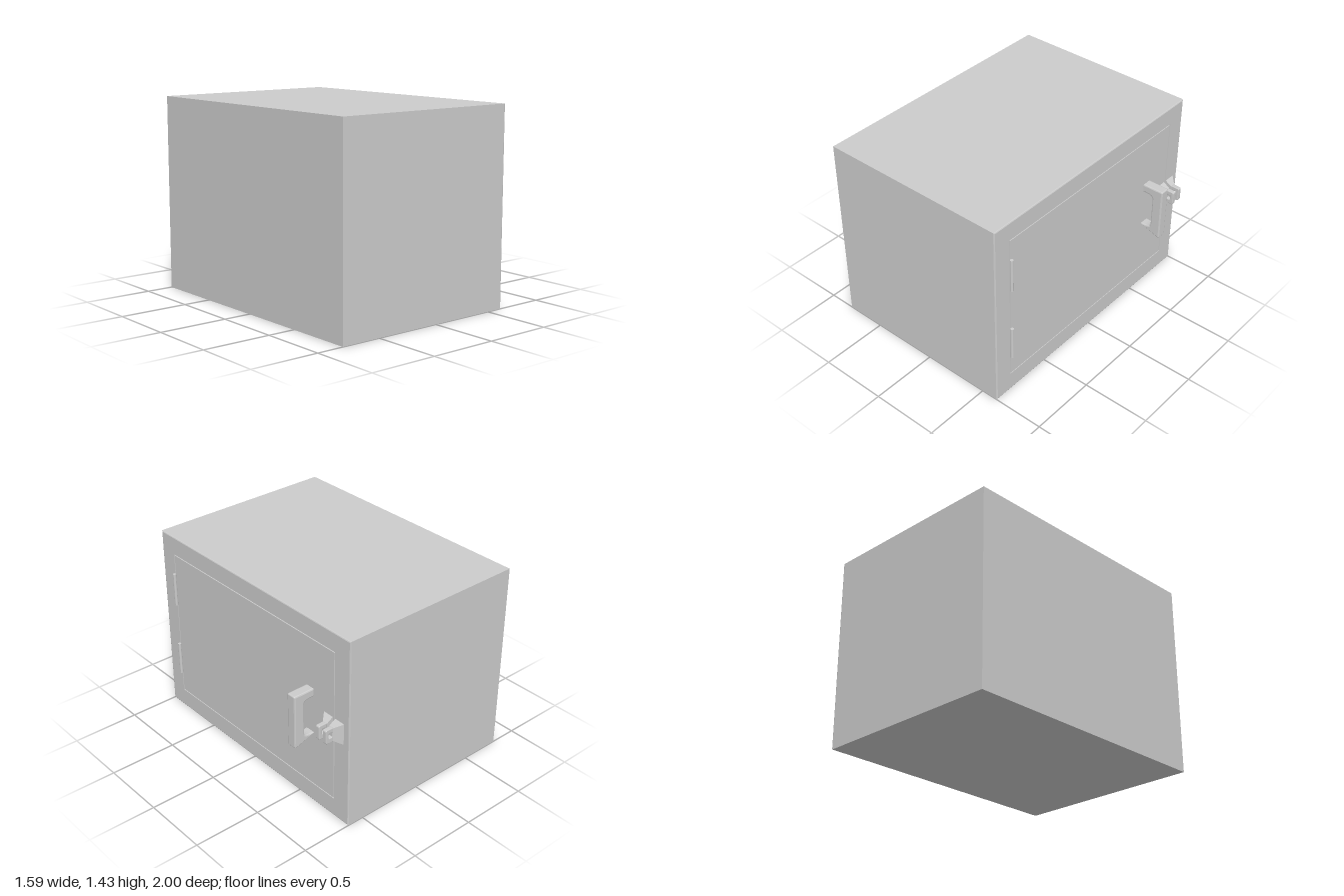
import * as THREE from 'three';

const material = new THREE.MeshStandardMaterial({ color: 0xcccccc });

function add(parent, name, geometry, x = 0, y = 0, z = 0) {
  const mesh = new THREE.Mesh(geometry, material);
  mesh.name = name;
  mesh.position.set(x, y, z);
  parent.add(mesh);
  return mesh;
}

// Flat-faced loft along x through rectangles [x, zMin, zMax, yMin, yMax]
function loft(rects) {
  const rings = rects.map(([x, z0, z1, y0, y1]) =>
    [[x, y0, z1], [x, y0, z0], [x, y1, z0], [x, y1, z1]]);
  const positions = [];
  const quad = (a, b, c, d) => positions.push(...a, ...b, ...c, ...a, ...c, ...d);
  for (let r = 0; r < rings.length - 1; r++) {
    const a = rings[r], b = rings[r + 1];
    for (let i = 0; i < 4; i++) {
      const j = (i + 1) % 4;
      quad(a[i], a[j], b[j], b[i]);
    }
  }
  const first = rings[0], last = rings[rings.length - 1];
  quad(first[3], first[2], first[1], first[0]);
  quad(...last);
  const geometry = new THREE.BufferGeometry();
  geometry.setAttribute('position', new THREE.Float32BufferAttribute(positions, 3));
  geometry.computeVertexNormals();
  return geometry;
}

// Rectangle outline with rounded corners
function roundedRect(path, x0, y0, x1, y1, r) {
  path.absarc(x1 - r, y0 + r, r, -Math.PI / 2, 0);
  path.absarc(x1 - r, y1 - r, r, 0, Math.PI / 2);
  path.absarc(x0 + r, y1 - r, r, Math.PI / 2, Math.PI);
  path.absarc(x0 + r, y0 + r, r, Math.PI, Math.PI * 1.5);
  path.closePath();
  return path;
}

// Bevelled plate of a given total thickness, centred on z
function plate(shape, thickness, bevel) {
  return new THREE.ExtrudeGeometry(shape, {
    depth: thickness - 2 * bevel, bevelEnabled: true, bevelSize: bevel,
    bevelThickness: bevel, bevelOffset: -bevel, bevelSegments: 2, curveSegments: 6,
  }).translate(0, 0, bevel - thickness / 2);
}

export function createModel() {
  const model = new THREE.Group();
  model.name = 'cabinet';

  // Body with a softened front edge and a shallow door recess
  add(model, 'body', loft([
    [-0.8, -1, 1, 0, 1.43],
    [0.622, -1, 1, 0, 1.43],
    [0.627, -0.998, 0.998, 0.002, 1.428],
    [0.63, -0.992, 0.992, 0.008, 1.422],
    [0.63, -0.859, 0.863, 0.142, 1.293],
    [0.59, -0.859, 0.863, 0.142, 1.293],
  ]));

  // Door panel, leaving a narrow gap all round
  add(model, 'door', loft([
    [0.58, -0.852, 0.856, 0.149, 1.286],
    [0.63, -0.852, 0.856, 0.149, 1.286],
  ]));

  // Hinge barrels
  for (const y of [0.432, 1.015]) {
    add(model, 'hinge', new THREE.CylinderGeometry(0.012, 0.012, 0.253, 16), 0.643, y, 0.856);
  }

  // Pull handle with rounded inner corners
  const pull = new THREE.Shape();
  pull.moveTo(0.615, 0.515);
  pull.absarc(0.78, 0.525, 0.01, -Math.PI / 2, 0);
  pull.absarc(0.78, 0.91, 0.01, 0, Math.PI / 2);
  pull.lineTo(0.615, 0.92);
  pull.lineTo(0.615, 0.858);
  pull.lineTo(0.66, 0.858);
  pull.quadraticCurveTo(0.71, 0.855, 0.71, 0.835);
  pull.lineTo(0.71, 0.6);
  pull.quadraticCurveTo(0.71, 0.58, 0.66, 0.577);
  pull.lineTo(0.615, 0.577);
  pull.closePath();
  add(model, 'handle', plate(pull, 0.075, 0.01), 0, 0, -0.618);

  // Padlock eyes: flared foot and pierced tab, mirrored about the door gap
  const tab = roundedRect(new THREE.Shape(), 0.672, 0.665, 0.742, 0.77, 0.012);
  tab.holes.push(roundedRect(new THREE.Path(), 0.687, 0.7, 0.716, 0.738, 0.006));
  const tabGeometry = plate(tab, 0.032, 0.004);
  for (const side of [-1, 1]) {
    const eye = new THREE.Group();
    eye.name = side > 0 ? 'doorLockEye' : 'frameLockEye';
    eye.position.z = -0.854;
    model.add(eye);
    const foot = (x, inner, outer, y0, y1) =>
      [x, Math.min(side * inner, side * outer), Math.max(side * inner, side * outer), y0, y1];
    add(eye, 'foot', loft([
      foot(0.625, 0.012, 0.096, 0.638, 0.8),
      foot(0.636, 0.012, 0.092, 0.642, 0.795),
      foot(0.681, 0.012, 0.05, 0.667, 0.768),
    ]));
    add(eye, 'tab', tabGeometry, 0, 0, side * 0.033);
  }

  return model;
}
